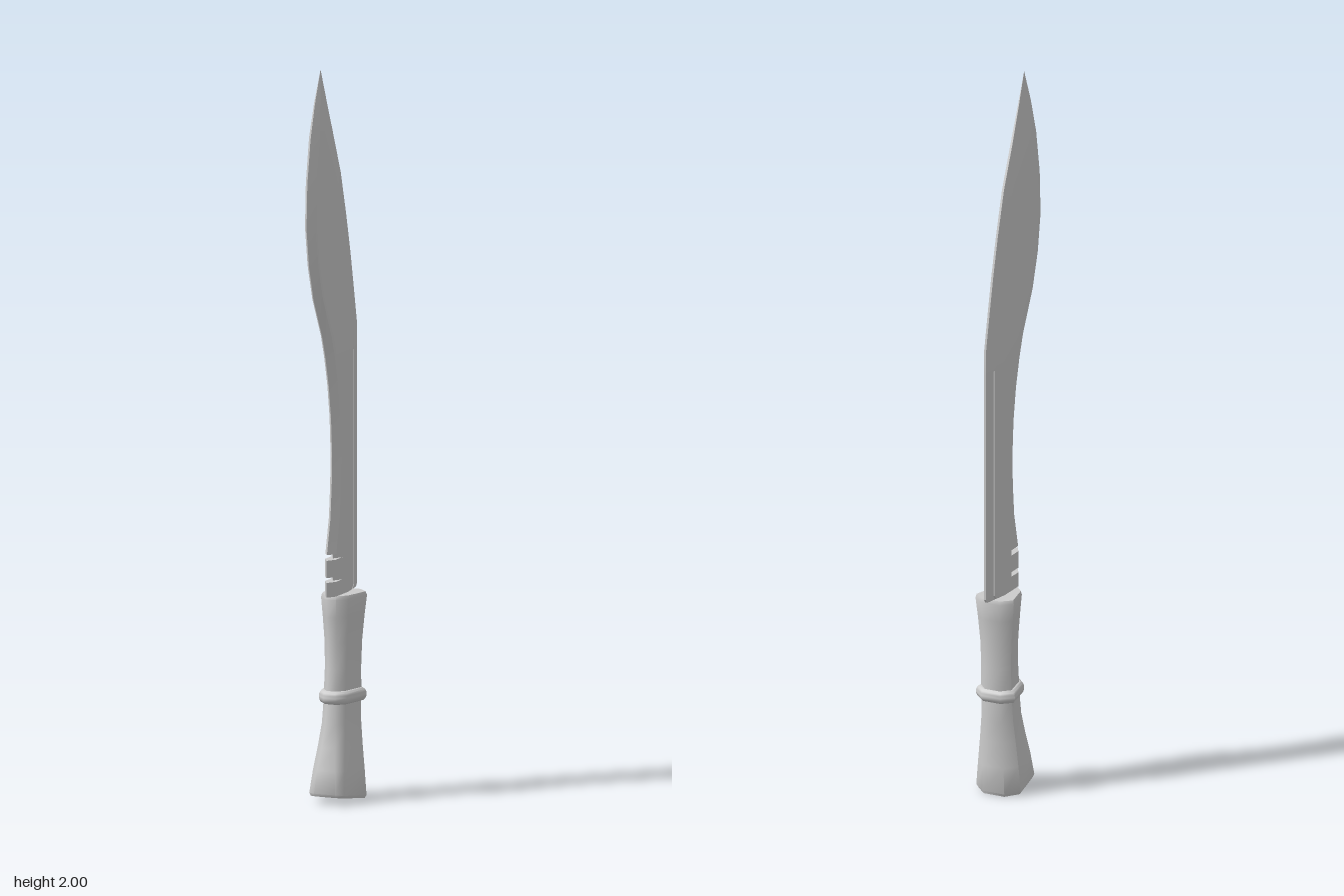
import * as THREE from 'three';
import { toCreasedNormals } from 'three/addons/utils/BufferGeometryUtils.js';

const material = new THREE.MeshStandardMaterial({ color: 0xcccccc });

// Skin a stack of closed rings (bottom to top, each running +z, +x, -z, -x) and cap both ends.
function loft(name, rings, crease, bottomDish = 0) {
  const n = rings[0].length, pos = [], idx = [];
  rings.forEach(r => r.forEach(p => pos.push(...p)));
  for (let i = 0; i < rings.length - 1; i++) {
    for (let j = 0; j < n; j++) {
      const k = (j + 1) % n;
      const a = i * n + j, b = i * n + k, c = b + n, d = a + n;
      idx.push(a, b, c, a, c, d);
    }
  }
  const cap = (row, up, dish) => {
    const centre = pos.length / 3, r = rings[row];
    const mean = axis => r.reduce((s, p) => s + p[axis], 0) / n;
    pos.push(0, mean(1) + dish, mean(2));
    for (let j = 0; j < n; j++) {
      const a = row * n + j, b = row * n + (j + 1) % n;
      idx.push(centre, up ? a : b, up ? b : a);
    }
  };
  cap(0, false, bottomDish);
  cap(rings.length - 1, true, 0);
  const g = new THREE.BufferGeometry();
  g.setAttribute('position', new THREE.Float32BufferAttribute(pos, 3));
  g.setIndex(idx);
  const mesh = new THREE.Mesh(toCreasedNormals(g, THREE.MathUtils.degToRad(crease)), material);
  mesh.name = name;
  return mesh;
}

// Mirror a half outline (front to back, [x, z]) into a full ring at height y(z).
function mirrored(half, y) {
  const right = half.map(([x, z]) => [x, y(z), z]);
  const left = [...right].reverse().map(([x, h, z]) => [-x, h, z]);
  return [...right, ...left];
}

// Blade section: bevelled edge in front, tapered spine with a narrow groove behind.
function bladeRing(y, front, back, groove) {
  const s = Math.min(1, (front - back) / 0.12);
  const spine = d => 0.003 + 0.013 * d / 0.075;
  const half = [
    [0.0004 * s, front],
    [0.016 * s, front - 0.025 * s],
    [0.016 * s, back + 0.075 * s],
    [spine(0.039) * s, back + 0.039 * s],
    [(spine(0.036) - groove) * s, back + 0.036 * s],
    [spine(0.033) * s, back + 0.033 * s],
    [0.003 * s, back],
  ];
  return mirrored(half, () => y);
}

function makeBlade() {
  const g = 0.005;
  // y, edge z, spine z, groove depth; repeated heights make the notches and the groove end
  const rows = [
    [0.56, 0.03, -0.147, g], [0.57, 0.03, -0.155, g],
    [0.6, 0.03, -0.155, g], [0.6, -0.01, -0.155, g],
    [0.613, -0.01, -0.155, g], [0.613, 0.03, -0.155, g],
    [0.66, 0.03, -0.155, g], [0.66, -0.01, -0.155, g],
    [0.675, -0.01, -0.155, g], [0.675, 0.028, -0.155, g],
    [0.77, 0.006, -0.155, g], [0.86, -0.002, -0.155, g],
    [0.945, -0.004, -0.155, g], [1.04, 0.002, -0.155, g],
    [1.13, 0.016, -0.155, g], [1.21, 0.036, -0.155, g],
    [1.21, 0.036, -0.155, 0], [1.27, 0.056, -0.155, 0],
    [1.38, 0.11, -0.133, 0], [1.475, 0.139, -0.113, 0],
    [1.58, 0.155, -0.087, 0], [1.7, 0.15, -0.053, 0],
    [1.82, 0.13, -0.003, 0], [1.91, 0.103, 0.033, 0],
    [2, 0.067, 0.067, 0],
  ];
  return loft('blade', rows.map(r => bladeRing(...r)), 30);
}

// Grip section: widest near the back, narrowing to the front; flare squares the front, tilt lifts it.
function gripRing([y, back, front, width, flare = 0, tilt = 0]) {
  const at = u => back + (front - back) * u;
  const half = [
    [width * (0.27 + 0.2 * flare), at(1)],
    [width * (0.7 + 0.08 * flare), at(0.8 + 0.1 * flare)],
    [width, at(0.2)],
    [width * 0.5, at(0)],
  ];
  return mirrored(half, z => y + tilt * (z - back) / (front - back));
}

export function createModel() {
  const model = new THREE.Group();
  model.name = 'curvedKnife';
  model.add(makeBlade());

  // y, back z, front z, half width, flare, tilt
  const lower = [
    [0, -0.104, 0.038, 0.063, 1, 0.02], [0.008, -0.108, 0.042, 0.067, 1, 0.02],
    [0.08, -0.107, 0.032, 0.061, 0.8, 0.01], [0.15, -0.106, 0.018, 0.054, 0.5],
    [0.21, -0.108, 0.007, 0.048, 0.2], [0.27, -0.111, 0.003, 0.046],
  ];
  const upper = [
    [0.28, -0.113, 0.003, 0.046], [0.36, -0.113, -0.005, 0.045],
    [0.43, -0.115, -0.006, 0.047], [0.5, -0.12, -0.001, 0.053],
    [0.55, -0.126, 0.004, 0.058], [0.56, -0.123, 0.001, 0.055],
  ];
  model.add(loft('lowerGrip', lower.map(gripRing), 50, 0.015));
  model.add(loft('upperGrip', upper.map(gripRing), 50));

  // Rounded band around the middle of the grip
  const band = [];
  for (let i = 0; i <= 8; i++) {
    const a = -Math.PI / 2 + Math.PI * i / 8, r = 0.012 * Math.cos(a);
    band.push(gripRing([0.283 + 0.018 * Math.sin(a), -0.111 - r, 0.001 + r, 0.047 + r, 0.2]));
  }
  model.add(loft('gripBand', band, 50));
  return model;
}
